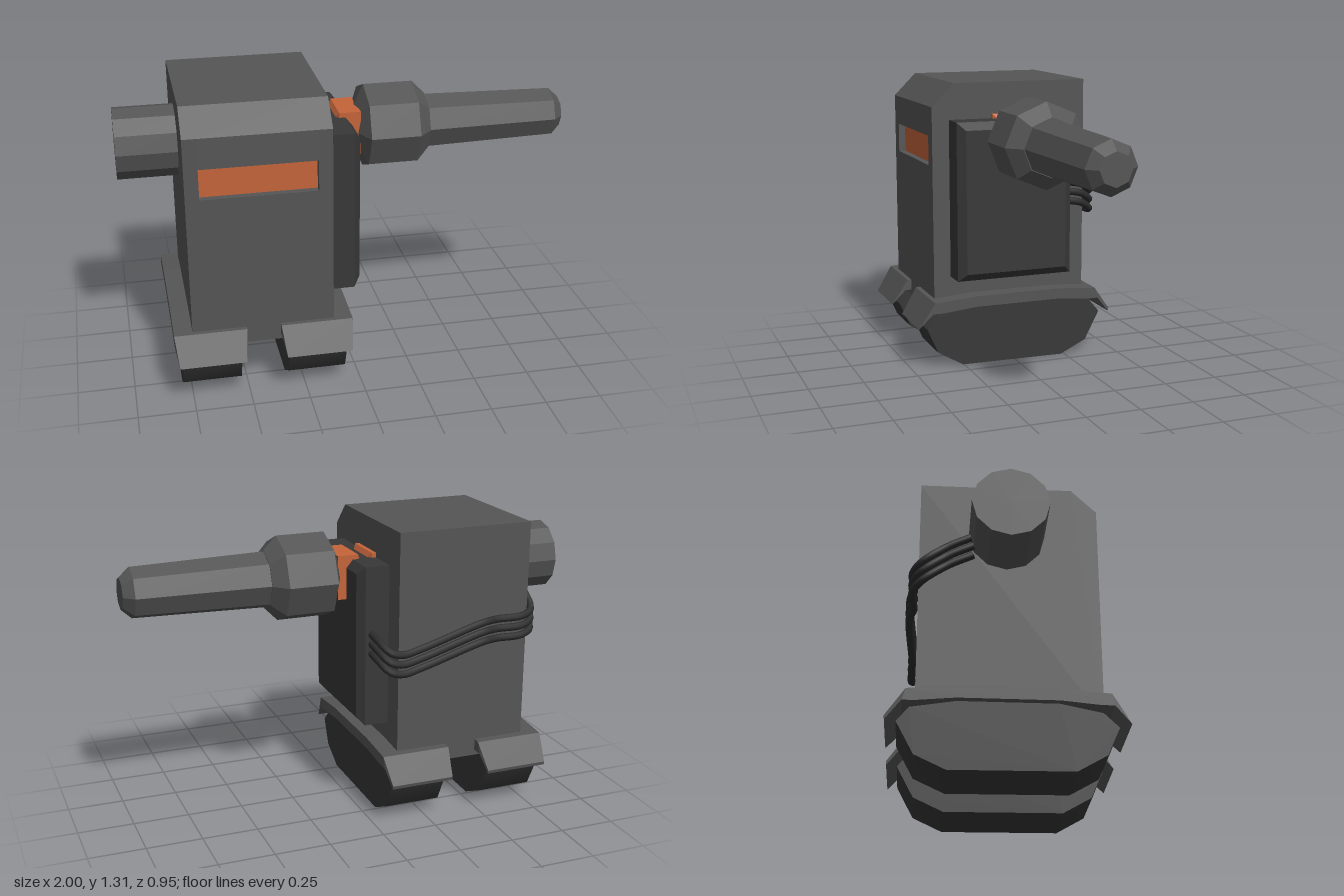
import * as THREE from 'three';
import { toCreasedNormals } from 'three/addons/utils/BufferGeometryUtils.js';

const material = (name, color) => {
  const m = new THREE.MeshStandardMaterial({ color });
  m.name = name;
  return m;
};

// Extrudes a [z, y] outline along x from x0 to x1
function extrudeX(outline, x0, x1, options = {}) {
  const shape = new THREE.Shape(outline.map(([z, y]) => new THREE.Vector2(-z, y)));
  const geo = new THREE.ExtrudeGeometry(shape, { depth: x1 - x0, bevelEnabled: false, ...options });
  return geo.rotateY(Math.PI / 2).translate(x0, 0, 0);
}

// Faceted turned part along x, from [x, radius] pairs
function turnedX(profile, sides, phase = 0) {
  const points = profile.map(([x, r]) => new THREE.Vector2(r, x));
  const geo = new THREE.LatheGeometry(points, sides, phase).rotateZ(-Math.PI / 2).toNonIndexed();
  geo.computeVertexNormals();
  return geo.translate(0, 1.067, 0);
}

export function createModel() {
  const model = new THREE.Group();
  const steel = material('steel grey', 0x555555);
  const dark = material('dark grey', 0x383838);
  const cableBlack = material('cable black', 0x2c2c2c);
  const orange = material('orange', 0xc4643a);

  const add = (name, geometry, mat, parent = model) => {
    const mesh = new THREE.Mesh(geometry, mat);
    mesh.name = name;
    parent.add(mesh);
    return mesh;
  };

  // Body: solid side slices and a middle slice notched for the visor
  const body = new THREE.Group();
  body.name = 'body';
  model.add(body);
  const back = [[0.275, 1.31], [-0.36, 1.31], [-0.36, 0.245], [0.38, 0.245]];
  const solid = [[0.38, 1.205], ...back];
  const notched = [...solid, [0.38, 0.935], [0.34, 0.935], [0.34, 1.07], [0.38, 1.07]];
  add('bodySideRight', extrudeX(solid, -0.74, -0.68), steel, body);
  add('bodyMiddle', extrudeX(notched, -0.68, -0.18), steel, body);
  add('bodySideLeft', extrudeX(solid, -0.18, -0.12), steel, body);
  const visor = add('visor', new THREE.BoxGeometry(0.5, 0.135, 0.008), orange);
  visor.position.set(-0.43, 1.0025, 0.344);

  // Bevelled side plate
  const plate = [[0.3, 0.42], [0.3, 1.145], [-0.25, 1.145], [-0.25, 0.42]];
  add('sidePlate', extrudeX(plate, -0.16, -0.01, {
    bevelEnabled: true, bevelThickness: 0.03, bevelSize: 0.035, bevelOffset: -0.035, bevelSegments: 1,
  }), dark);

  // Stub drum on the right side
  add('shoulderDrum', turnedX([[-1, 0], [-1, 0.157], [-0.73, 0.157]], 12), steel);

  // Square waisted joint and octagonal gun arm
  const s = Math.SQRT2;
  add('armJoint', turnedX([
    [-0.13, 0.099 * s], [-0.1, 0.099 * s], [-0.08, 0.07 * s],
    [-0.055, 0.07 * s], [-0.035, 0.099 * s], [0.06, 0.099 * s],
  ], 4, Math.PI / 4), orange);
  add('gunArm', turnedX([
    [0.05, 0], [0.05, 0.1], [0.09, 0.191], [0.31, 0.191], [0.37, 0.13],
    [0.37, 0.126], [0.955, 0.112], [1, 0.07], [1, 0],
  ], 8), steel);

  // Tracked feet with fenders
  const track = [
    [0.43, 0.19], [0.38, 0.075], [0.26, 0.005], [-0.235, 0], [-0.36, 0.06],
    [-0.43, 0.195], [-0.38, 0.255], [-0.2, 0.285], [0.2, 0.285], [0.37, 0.25],
  ];
  const fender = [
    [0.475, 0.2], [0.4, 0.32], [0.2, 0.335], [-0.2, 0.335], [-0.395, 0.32], [-0.475, 0.21],
    [-0.472, 0.195], [-0.41, 0.27], [-0.36, 0.27], [-0.2, 0.285], [0.2, 0.285], [0.36, 0.27], [0.41, 0.27],
  ];
  for (const [side, x] of [['right', -0.6625], ['left', -0.1975]]) {
    const foot = new THREE.Group();
    foot.name = side + 'Foot';
    model.add(foot);
    add(side + 'Track', toCreasedNormals(extrudeX(track, x - 0.1275, x + 0.1275), 1.05), dark, foot);
    // Fender flaps narrow towards their tips
    const geo = extrudeX(fender, x - 0.158, x + 0.158);
    const p = geo.attributes.position;
    for (let i = 0; i < p.count; i++) {
      if (Math.abs(p.getZ(i)) > 0.42) p.setX(i, x + (p.getX(i) - x) * 0.91);
    }
    geo.computeVertexNormals();
    add(side + 'Fender', geo, steel, foot);
  }

  // Three cables from the side plate around the back to the drum
  const route = [
    [-0.04, 0.8, -0.24], [-0.045, 0.785, -0.32], [-0.075, 0.75, -0.375], [-0.13, 0.735, -0.385],
    [-0.22, 0.75, -0.378], [-0.5, 0.84, -0.395], [-0.58, 0.845, -0.378], [-0.71, 0.85, -0.383],
    [-0.765, 0.87, -0.35], [-0.768, 0.95, -0.24], [-0.768, 1.0, -0.14],
  ];
  for (let i = -1; i <= 1; i++) {
    const curve = new THREE.CatmullRomCurve3(route.map(([x, y, z]) => new THREE.Vector3(x, y + i * 0.044, z)));
    add('cable' + (i + 2), new THREE.TubeGeometry(curve, 50, 0.017, 8), cableBlack);
  }
  return model;
}
